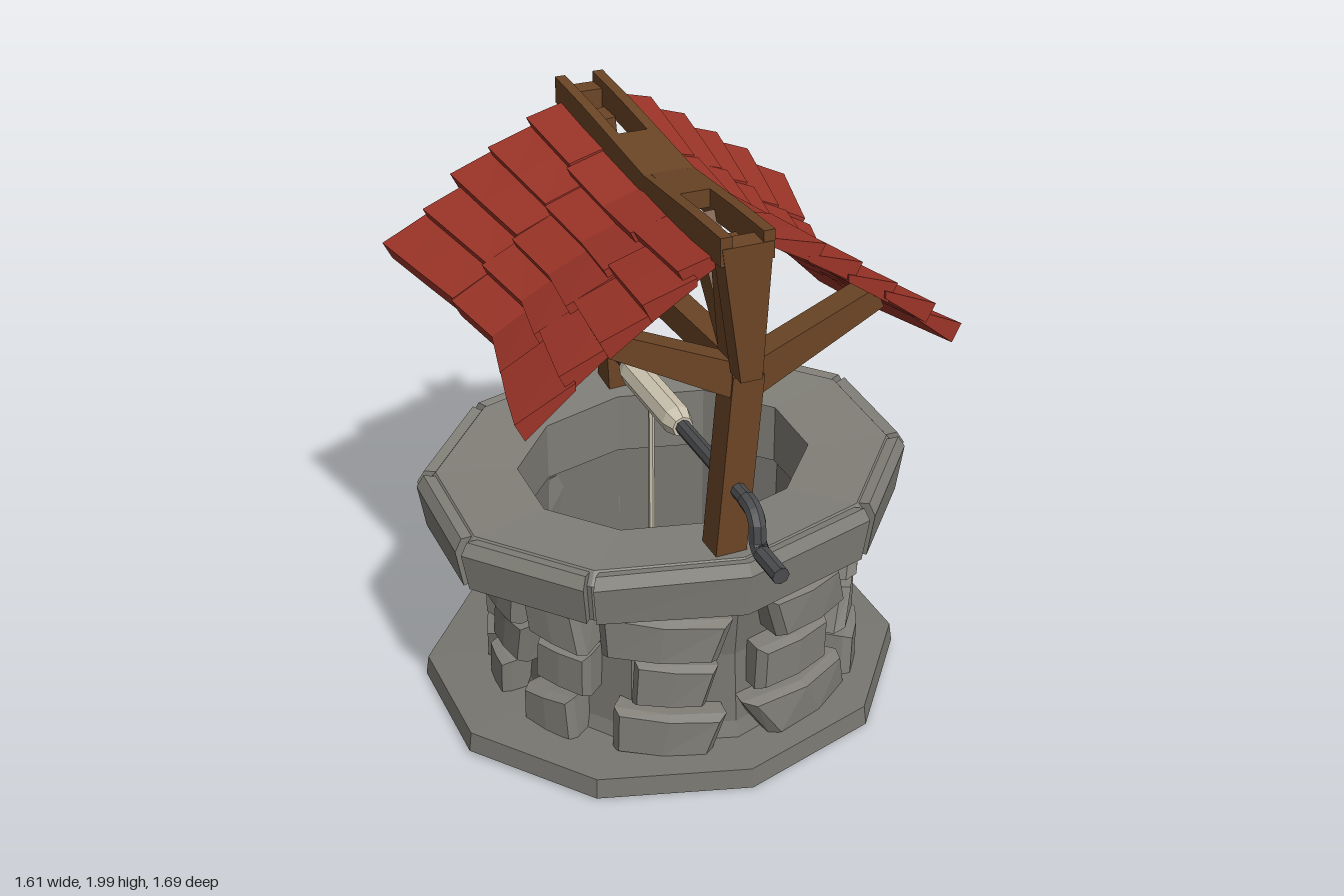
import * as THREE from 'three';

const mat = (color) => new THREE.MeshStandardMaterial({ color, flatShading: true });

let seed = 7;
const rnd = () => ((seed = (seed * 16807) % 2147483647) / 2147483647) - 0.5;

export function createModel() {
  const root = new THREE.Group();
  const stone = mat(0x787670), pale = mat(0x807e77), wood = mat(0x6b4526);
  const red = mat(0x9c3428), iron = mat(0x4a4b4d), cream = mat(0xcdc5b0);

  function add(name, geo, material, parent) {
    const m = new THREE.Mesh(geo, material);
    m.name = name;
    parent.add(m);
    return m;
  }
  function group(name, x = 0, z = 0, scaleZ = 1) {
    const g = new THREE.Group();
    g.name = name;
    g.position.set(x, 0, z);
    g.scale.z = scaleZ;
    root.add(g);
    return g;
  }
  // Moves every vertex of a geometry by a rule
  function warp(geo, rule) {
    const p = geo.attributes.position, v = new THREE.Vector3();
    for (let i = 0; i < p.count; i++) {
      rule(v.fromBufferAttribute(p, i));
      p.setXYZ(i, v.x, v.y, v.z);
    }
    geo.computeVertexNormals();
    return geo;
  }
  // Straight timber between two points, optionally thinner towards its end
  function beam(name, a, b, w, d, parent, taper = 1) {
    const A = new THREE.Vector3(...a), B = new THREE.Vector3(...b);
    const geo = warp(new THREE.BoxGeometry(w, A.distanceTo(B), d), (v) => { if (v.y > 0) v.x *= taper; });
    const m = add(name, geo, wood, parent);
    m.position.copy(A).lerp(B, 0.5);
    m.quaternion.setFromUnitVectors(new THREE.Vector3(0, 1, 0), B.sub(A).normalize());
  }
  const lathe = (pts) => new THREE.LatheGeometry(pts.map((p) => new THREE.Vector2(...p)), 10);

  // Ten-sided base slab, drooping at front and back
  const base = group('base', 0, -0.085, 0.91);
  add('baseSlab', warp(new THREE.CylinderGeometry(0.83, 0.84, 0.07, 10), (v) => {
    v.y += 0.045 + 0.025 * (1 - Math.abs(v.z) / 0.83);
  }), stone, base);

  // Hollow wall with floor
  const well = group('well', 0.025, -0.06, 0.96);
  add('wall', lathe([[0.6, 0.06], [0.57, 0.14], [0.55, 0.4], [0.57, 0.58], [0.64, 0.69],
    [0.5, 0.74], [0.49, 0.1], [0, 0.1]]), stone, well);

  // Bevelled stones set into the wall: angle and width in degrees
  const rows = [
    { y: 0.155, h: 0.16, r: 0.62, list: [[26, 42], [60, 22], [88, 15], [111, 20], [146, 28], [174, 20], [211, 44], [246, 20], [268, 14], [297, 20], [336, 33]] },
    { y: 0.355, h: 0.16, r: 0.61, list: [[20, 30], [64, 32], [109, 36], [146, 22], [171, 20], [206, 34], [242, 28], [275, 22], [302, 20], [338, 24]] },
    { y: 0.545, h: 0.16, r: 0.63, list: [[25, 32], [68, 28], [106, 28], [143, 24], [168, 18], [204, 38], [250, 22], [278, 18], [301, 20], [335, 37]] },
  ];
  for (const row of rows) for (const [deg, width] of row.list) {
    const shear = rnd() * 0.35, skew = rnd() * 0.35, tilt = rnd() * 0.05, out = rnd() * 0.02;
    add('wallStone', warp(new THREE.BoxGeometry(1, 1, 1, 2, 1, 2), (v) => {
      const layer = Math.round((v.z + 0.5) * 2);
      const shrink = [1, 1, 0.84][layer], r = [0.5, row.r, row.r + 0.03][layer] + out;
      const a = THREE.MathUtils.degToRad(deg + width * shrink * (v.x * (1 + skew * v.y) + shear * v.y));
      const y = row.y + row.h * shrink * v.y * (1 - skew * v.x) + tilt * v.x;
      v.set(r * Math.sin(a), y, r * Math.cos(a));
    }), pale, well);
  }

  // Rim: one continuous bevelled ring faced with blocks meeting in narrow joints
  const rim = group('rim', 0, -0.06, 0.825);
  const rimTop = (x, z) => 0.02 * x - 0.035 * z;
  add('rimRing', warp(lathe([[0.5, 0.67], [0.79, 0.67], [0.81, 0.84], [0.775, 0.88], [0.5, 0.868], [0.5, 0.67]]),
    (v) => { if (v.y > 0.8) v.y += rimTop(v.x, v.z); }), pale, rim);
  for (let i = 0; i < 10; i++) {
    const gapA = i % 5 === 0 ? 0 : 0.02, gapB = i % 5 === 4 ? 0 : 0.02;
    add('rimBlock', warp(new THREE.BoxGeometry(1, 1, 1, 1, 2, 1), (v) => {
      const a = i * Math.PI / 5 + (v.x < 0 ? gapA : Math.PI / 5 - gapB);
      const layer = Math.round((v.y + 0.5) * 2);
      const r = v.z < 0 ? 0.72 : [0.815, 0.84, 0.815][layer];
      const x = r * Math.sin(a), z = r * Math.cos(a);
      const bottom = 0.655 + 0.025 * Math.abs(Math.sin(a));
      const top = v.z < 0 ? 0.865 : 0.88;
      v.set(x, [bottom, 0.84, top][layer] + (layer ? rimTop(x, z) : 0), z);
    }), pale, rim);
  }

  // Posts, side braces, ridge struts and the tie beam between the posts
  const frame = group('frame');
  for (const [z, foot, low, strut] of [[0.49, -0.03, 0.84, 0.22], [-0.58, 0.045, 0.86, -0.32]]) {
    beam('post', [foot, low, z], [0.02, 1.47, z], 0.105, 0.105, frame);
    beam('postTop', [0.02, 1.44, z], [-0.02, 1.9, z], 0.1, 0.1, frame);
    beam('brace', [0.02, 1.44, z], [-0.41, 1.655, z], 0.115, 0.09, frame, 0.65);
    beam('brace', [0.02, 1.44, z], [0.455, 1.645, z], 0.115, 0.09, frame, 0.65);
    beam('ridgeStrut', [0.02, 1.47, z], [0, 1.87, strut], 0.08, 0.08, frame);
  }
  beam('tieBeam', [0.02, 1.47, 0.49], [0.02, 1.42, -0.58], 0.08, 0.09, frame);

  // Sagging ridge: two rails joined by a middle plank and end keys
  const ridge = group('ridge');
  const end = (z) => Math.min(1, Math.abs(z + 0.04) / 0.6);
  const ridgeY = (z) => 1.905 + 0.09 * end(z);
  const ridgeX = (z) => 0.01 - (z > 0 ? 0.055 : 0.03) * end(z);
  function along(name, x, w, h, z0, z1) {
    add(name, warp(new THREE.BoxGeometry(w, h, 1, 1, 1, 6), (v) => {
      const z = z0 + (z1 - z0) * (v.z + 0.5);
      v.set(v.x + x + ridgeX(z), v.y - h / 2 + ridgeY(z), z);
    }), wood, ridge);
  }
  along('ridgeRail', -0.067, 0.036, 0.09, -0.73, 0.65);
  along('ridgeRail', 0.067, 0.036, 0.09, -0.73, 0.65);
  along('ridgePlank', 0, 0.12, 0.06, -0.3, 0.21);
  for (const z of [0.615, -0.69]) {
    add('gableKey', warp(new THREE.BoxGeometry(1, 1, 0.075), (v) => {
      v.x = v.x * (v.y > 0 ? 0.16 : 0.07) + ridgeX(z) + (v.y > 0 ? 0 : 0.02);
      v.y = v.y > 0 ? 1.96 : 1.52;
      v.z += z;
    }), wood, ridge);
  }

  // Roof: five overlapping courses of three tiles per side, pinched at mid length
  const roof = group('roof', 0, -0.055);
  const cuts = [-0.645, -0.25, 0.28, 0.645], courses = [0, 0.26, 0.45, 0.63, 0.81, 1];
  for (const s of [-1, 1]) for (let row = 0; row < 5; row++) {
    const shift = rnd() * 0.12;
    for (let c = 0; c < 3; c++) {
      const z0 = cuts[c] + (c > 0 ? shift : rnd() * 0.04);
      const z1 = cuts[c + 1] + (c < 2 ? shift : rnd() * 0.04);
      const du = rnd() * 0.03 + (c === 1 ? 0.025 : 0), lift = rnd() * 0.012;
      add('roofTile', warp(new THREE.BoxGeometry(1, 1, 1, 1, 1, 2), (v) => {
        const outer = s * v.x > 0, z = z0 + (z1 - z0) * (v.z + 0.5);
        const k = Math.min(1, Math.abs(z) / 0.64);
        const u = outer ? courses[row + 1] + du : courses[row] - (row ? 0.07 : 0);
        const x = 0.05 + (0.53 + 0.155 * k) * u - (v.y < 0 && outer ? 0.03 : 0);
        const y = 1.865 + 0.08 * k - (0.435 + 0.035 * k) * u + 0.1 * u * (1 - u) + lift
          + (outer ? 0.045 : -0.01) - (v.y < 0 ? (outer ? 0.06 : 0.025) : 0);
        v.set(s * x, y, z);
      }), red, roof);
    }
  }

  // Winch: axle, drum, crank and rope
  const winch = group('winch');
  const rod = (name, r0, r1, len, z, material) => {
    const m = add(name, new THREE.CylinderGeometry(r0, r1, len, 8).rotateX(Math.PI / 2), material, winch);
    m.position.set(-0.01, 1.08, z);
  };
  rod('axle', 0.026, 0.026, 1.46, -0.1, iron);
  rod('drum', 0.052, 0.052, 0.36, -0.11, cream);
  rod('drumEnd', 0.036, 0.052, 0.05, 0.095, cream);
  rod('drumEnd', 0.052, 0.036, 0.05, -0.315, cream);
  const crank = new THREE.CurvePath();
  const pts = [[-0.01, 1.08, 0.6], [-0.01, 1.075, 0.65], [-0.012, 1.05, 0.685],
    [-0.014, 0.98, 0.695], [-0.012, 0.955, 0.72], [-0.005, 0.945, 0.84]].map((p) => new THREE.Vector3(...p));
  for (let i = 1; i < pts.length; i++) crank.add(new THREE.LineCurve3(pts[i - 1], pts[i]));
  add('crank', new THREE.TubeGeometry(crank, 16, 0.029, 8), iron, winch);
  const cap = add('crankCap', new THREE.CircleGeometry(0.029, 8), iron, winch);
  cap.position.copy(pts[5]);
  const rope = add('rope', new THREE.CylinderGeometry(0.011, 0.011, 0.95, 6), cream, winch);
  rope.position.set(-0.01, 0.58, -0.145);

  return root;
}
